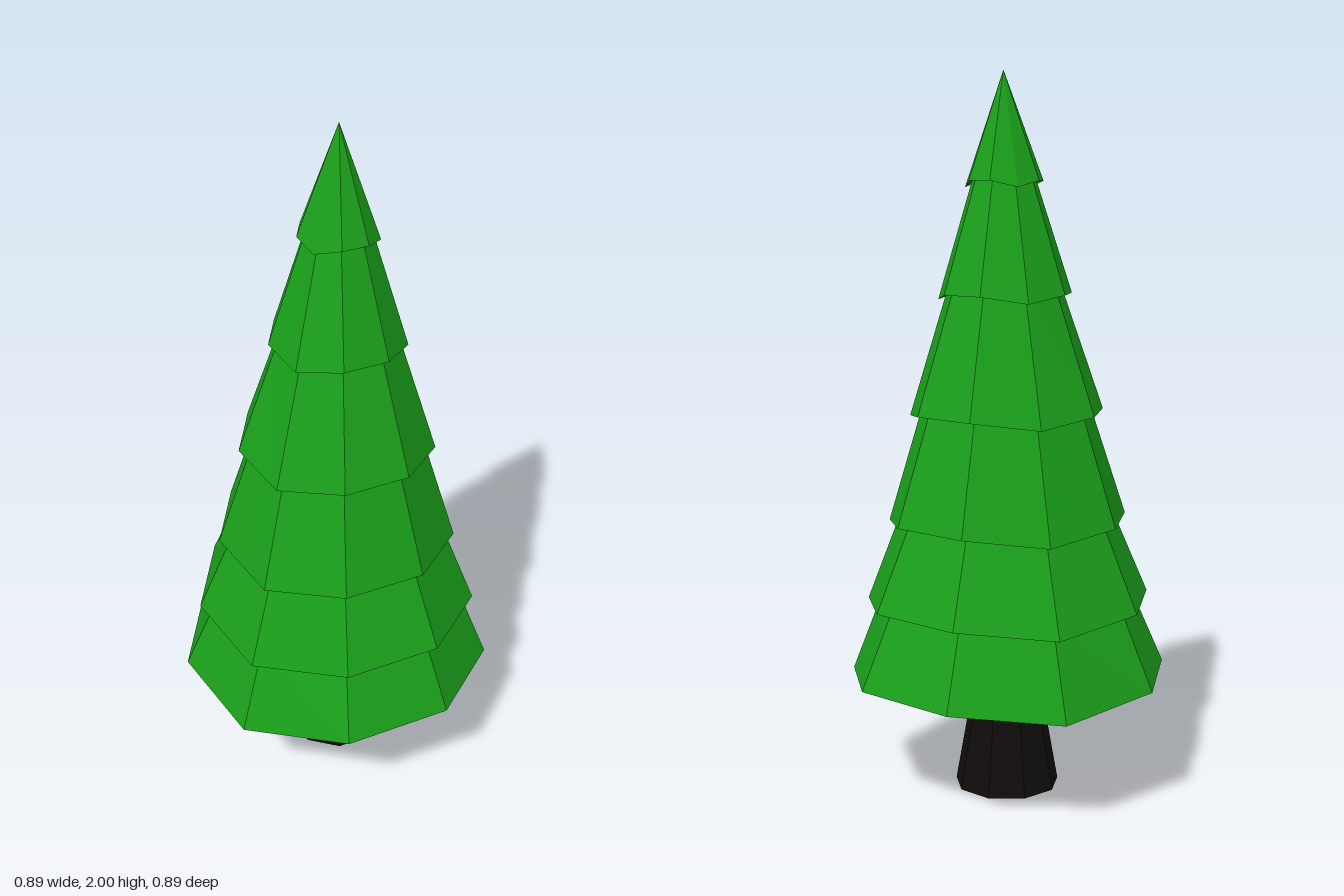
import * as THREE from 'three';

const SIDES = 9;
const TURN = THREE.MathUtils.degToRad(1.8);

// Closed skin over a stack of nine-sided rings; every third corner may droop.
function loftRings(rings) {
  const point = (ring, j) => {
    const k = j % SIDES;
    const a = (k / SIDES) * Math.PI * 2 + TURN;
    const y = ring.y - (k % 3 === 0 ? ring.droop || 0 : 0);
    return [ring.x + ring.r * Math.cos(a), y, ring.z + ring.r * Math.sin(a)];
  };
  const positions = [];
  for (let i = 0; i < rings.length - 1; i++) {
    const low = rings[i], high = rings[i + 1];
    for (let j = 0; j < SIDES; j++) {
      const a = point(low, j), b = point(low, j + 1);
      const c = point(high, j + 1), d = point(high, j);
      if (high.r > 0) positions.push(...a, ...d, ...c);
      if (low.r > 0) positions.push(...a, ...c, ...b);
    }
  }
  const geometry = new THREE.BufferGeometry();
  geometry.setAttribute('position', new THREE.Float32BufferAttribute(positions, 3));
  geometry.computeVertexNormals();
  return geometry;
}

function addPart(group, name, geometry, color) {
  const material = new THREE.MeshStandardMaterial({ color, flatShading: true });
  const mesh = new THREE.Mesh(geometry, material);
  mesh.name = name;
  group.add(mesh);
}

export function createModel() {
  const group = new THREE.Group();
  group.name = 'pineTree';

  // Tiers of branches: rim height, rim radius, radius where the next tier begins, x offset
  const tiers = [
    [0.335, 0.454, 0.36, -0.012],
    [0.545, 0.406, 0.305, -0.011],
    [0.775, 0.34, 0.24, -0.01],
    [1.075, 0.275, 0.163, -0.008],
    [1.4, 0.188, 0.088, -0.004],
    [1.705, 0.109, 0, -0.002],
  ];

  // Recessed underside around the trunk
  const rings = [
    { r: 0, y: 0.42, x: -0.012, z: -0.005 },
    { r: 0.35, y: 0.42, x: -0.012, z: -0.005 },
  ];
  // Each tier slopes from its drooping rim up to the underside of the next
  tiers.forEach(([y, r, topR, x], i) => {
    rings.push({ r, y, x, z: -0.005, droop: 0.025 - i * 0.0015 });
    const next = tiers[i + 1];
    if (next) rings.push({ r: topR, y: next[0] + 0.005, x: next[3], z: -0.005 });
    else rings.push({ r: 0, y: 2, x: 0, z: -0.006 });
  });
  addPart(group, 'foliage', loftRings(rings), 0x1a9f1a);

  // Trunk: wide foot, narrow waist, flaring under the branches
  const trunk = [[0, 0], [0.148, 0], [0.107, 0.23], [0.135, 0.43], [0, 0.43]]
    .map(([r, y]) => ({ r, y, x: -0.011, z: -0.012 }));
  addPart(group, 'trunk', loftRings(trunk), 0x110c0c);

  return group;
}
